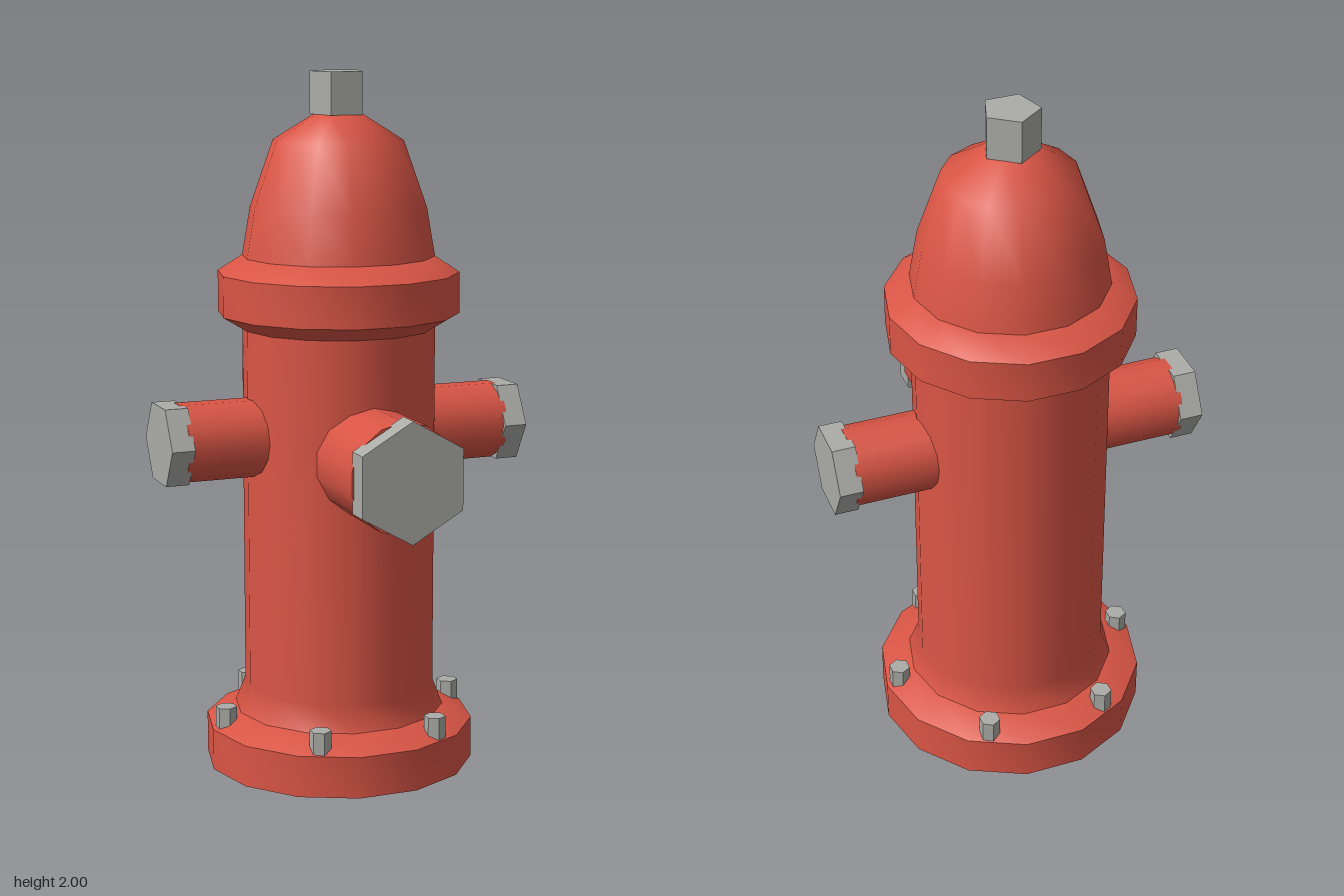
import * as THREE from 'three';
import { toCreasedNormals } from 'three/addons/utils/BufferGeometryUtils.js';

const SIDES = 14;
const AXIS_Z = -0.08; // the barrel stands behind centre, balancing the front outlet

export function createModel() {
  const red = new THREE.MeshStandardMaterial({ color: 0xd95545 });
  red.name = 'red paint';
  const steel = new THREE.MeshStandardMaterial({ color: 0xabaca7, flatShading: true });
  steel.name = 'grey steel';

  const hydrant = new THREE.Group();
  hydrant.name = 'hydrant';
  hydrant.position.z = AXIS_Z;

  const add = (name, geometry, material, parent = hydrant) => {
    const mesh = new THREE.Mesh(geometry, material);
    mesh.name = name;
    parent.add(mesh);
    return mesh;
  };

  // Turned part from [radius, height] pairs, bottom to top
  const turned = (name, profile, creased) => {
    const points = profile.map(([r, y]) => new THREE.Vector2(r, y));
    const geometry = new THREE.LatheGeometry(points, SIDES, Math.PI / SIDES);
    return add(name, creased ? toCreasedNormals(geometry, 0.6) : geometry, red);
  };

  turned('baseFlange', [[0, 0], [0.39, 0], [0.39, 0.12], [0.3, 0.163], [0.25, 0.163]], true);
  turned('barrel', [[0.305, 0.16], [0.276, 0.235], [0.276, 1.3]]);
  turned('upperFlange', [[0.27, 1.275], [0.345, 1.32], [0.345, 1.437], [0.275, 1.482], [0.2, 1.482]], true);
  turned('dome', [[0.275, 1.48], [0.251, 1.62], [0.185, 1.808], [0.07, 1.88], [0, 1.888]]);

  // Five-sided operating nut
  const nut = new THREE.CylinderGeometry(0.08, 0.08, 0.12, 5);
  nut.rotateY(Math.PI);
  add('topNut', nut, steel).position.y = 1.94;

  // Outlet pointing along its group's +y, with a hexagonal cap
  const outlet = (name, pipeRadius, capRadius, capStart, capEnd) => {
    const group = new THREE.Group();
    group.name = name;
    const start = 0.15, end = capStart + 0.012;
    add(name + 'Pipe', new THREE.CylinderGeometry(pipeRadius, pipeRadius, end - start, SIDES), red, group)
      .position.y = (start + end) / 2;
    add(name + 'Cap', new THREE.CylinderGeometry(capRadius, capRadius, capEnd - capStart, 6), steel, group)
      .position.y = (capStart + capEnd) / 2;
    hydrant.add(group);
    return group;
  };

  for (const [name, side] of [['leftOutlet', 1], ['rightOutlet', -1]]) {
    const group = outlet(name, 0.113, 0.126, 0.473, 0.54);
    group.position.y = 0.975;
    group.rotation.z = -side * Math.PI / 2;
  }
  const front = outlet('frontOutlet', 0.157, 0.17, 0.472, 0.542);
  front.position.y = 0.93;
  front.rotation.x = Math.PI / 2;

  // Six bolts around the base flange
  const bolt = new THREE.CylinderGeometry(0.031, 0.031, 0.075, 6);
  for (let i = 0; i < 6; i++) {
    const a = i * Math.PI / 3;
    add('baseBolt' + (i + 1), bolt, steel).position.set(0.35 * Math.cos(a), 0.149, 0.35 * Math.sin(a));
  }

  const model = new THREE.Group();
  model.name = 'fireHydrant';
  model.add(hydrant);
  return model;
}
